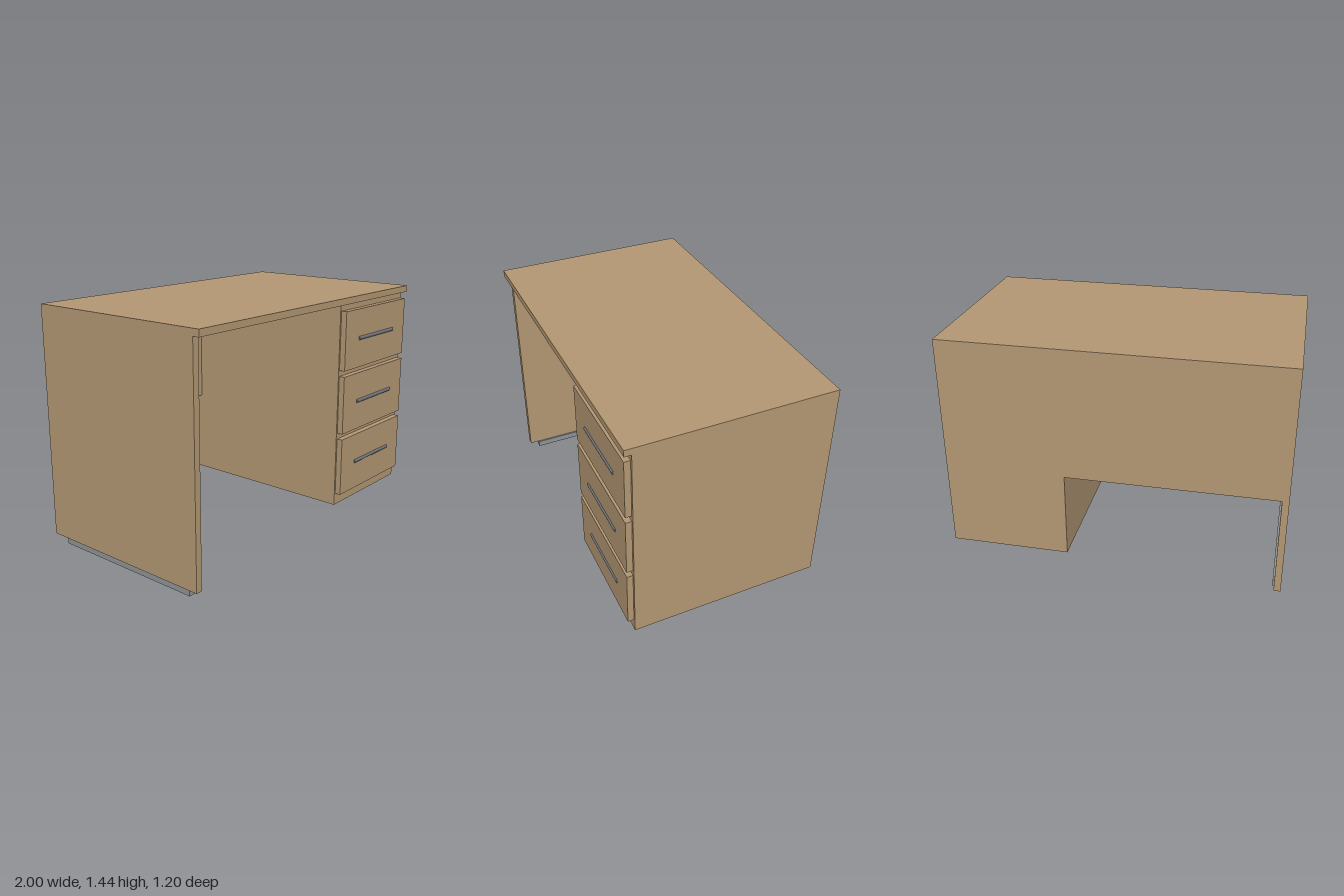
import * as THREE from 'three';

export function createModel() {
  const desk = new THREE.Group();
  desk.name = 'desk';
  const wood = new THREE.MeshStandardMaterial({ color: 0xb39773 });
  const metal = new THREE.MeshStandardMaterial({ color: 0x8f9498 });
  const steel = new THREE.MeshStandardMaterial({ color: 0x70757c });

  // Box given by its minimum and maximum corners
  function box(name, [x0, y0, z0], [x1, y1, z1], material = wood) {
    const mesh = new THREE.Mesh(new THREE.BoxGeometry(x1 - x0, y1 - y0, z1 - z0), material);
    mesh.position.set((x0 + x1) / 2, (y0 + y1) / 2, (z0 + z1) / 2);
    mesh.name = name;
    desk.add(mesh);
  }

  // Top and supports
  box('desktop', [-1, 1.4, -0.6], [1, 1.44, 0.6]);
  box('sidePanel', [-1, 0.04, -0.6], [-0.96, 1.4, 0.56]);
  box('backPanel', [-0.96, 0.65, -0.6], [0.28, 1.4, -0.56]);
  box('drawerCabinet', [0.28, 0.125, -0.6], [1, 1.4, 0.56]);
  box('footRail', [-0.99, 0, -0.5], [-0.95, 0.04, 0.5], metal);

  // Drawer fronts, each with a bar handle half sunk into its face
  const barGeometry = new THREE.CylinderGeometry(0.0125, 0.0125, 0.4, 12);
  barGeometry.rotateZ(Math.PI / 2);
  for (let i = 0; i < 3; i++) {
    const y = 0.38 + i * 0.398;
    box('drawerFront' + (i + 1), [0.29, y - 0.181, 0.56], [0.985, y + 0.181, 0.596]);
    const handle = new THREE.Mesh(barGeometry, steel);
    handle.position.set(0.64, y, 0.592);
    handle.name = 'drawerHandle' + (i + 1);
    desk.add(handle);
  }
  return desk;
}
